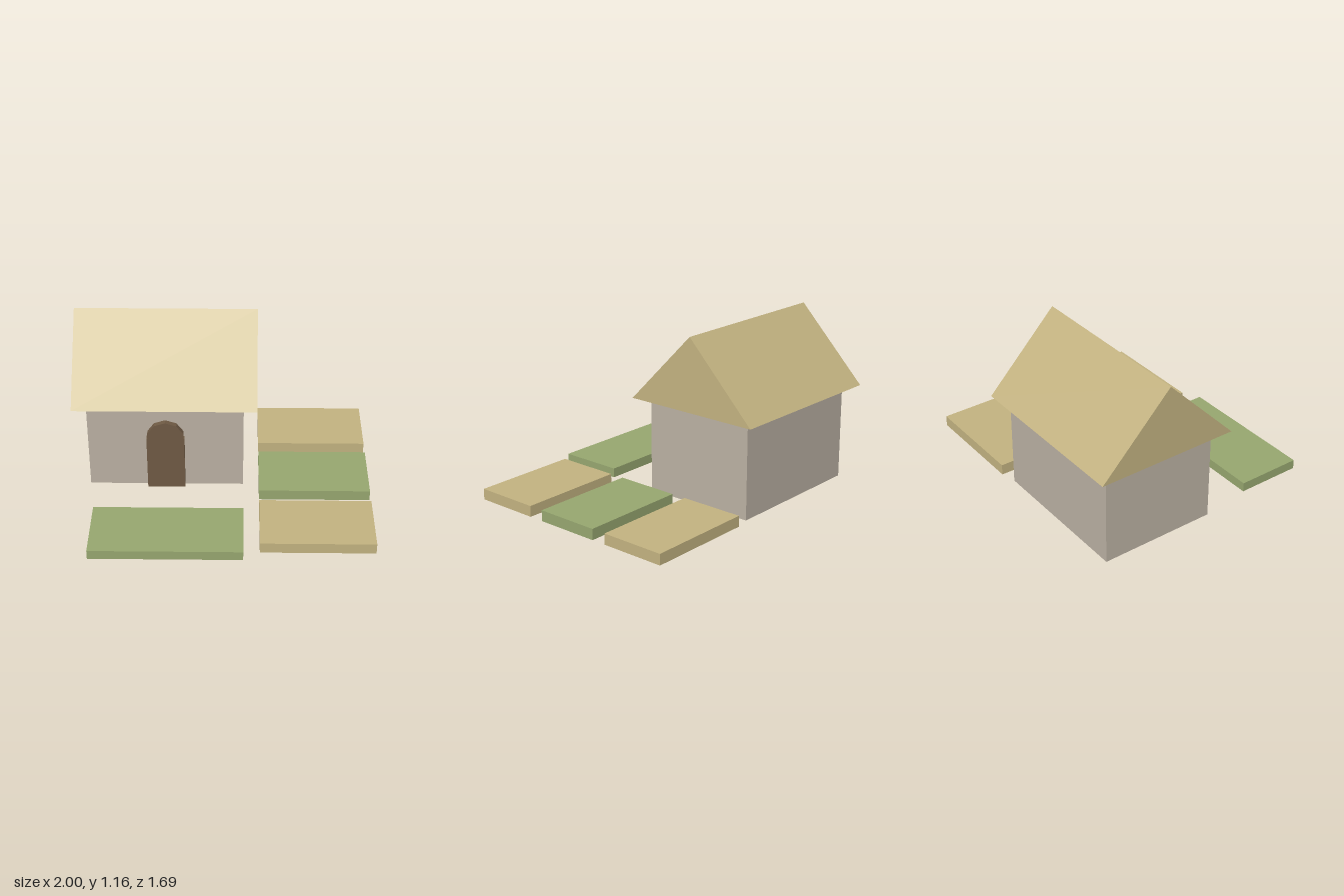
import * as THREE from 'three';

const material = (name, color) => {
  const m = new THREE.MeshStandardMaterial({ color });
  m.name = name;
  return m;
};

export function createModel() {
  const model = new THREE.Group();
  model.name = 'cottageWithPlots';

  const stone = material('stone', 0xbab0a2);
  const straw = material('straw', 0xc2b280);
  const grass = material('grass', 0x96a66f);
  const wood = material('wood', 0x6f5a44);

  const add = (name, geometry, mat, x, y, z) => {
    const mesh = new THREE.Mesh(geometry, mat);
    mesh.name = name;
    mesh.position.set(x, y, z);
    model.add(mesh);
    return mesh;
  };

  // Box standing on the ground
  const slab = (name, mat, w, h, d, x, z) =>
    add(name, new THREE.BoxGeometry(w, h, d), mat, x, h / 2, z);

  const houseX = -0.386, houseZ = -0.358;
  const wallHeight = 0.657;

  // Walls
  slab('walls', stone, 1.052, wallHeight, 0.805, houseX, houseZ);

  // Solid gabled roof, its ridge running along x
  const gable = new THREE.Shape([
    new THREE.Vector2(-0.49, 0),
    new THREE.Vector2(0.49, 0),
    new THREE.Vector2(0, 0.502),
  ]);
  const roofLength = 1.23;
  const roof = new THREE.ExtrudeGeometry(gable, { depth: roofLength, bevelEnabled: false });
  roof.translate(0, 0, -roofLength / 2).rotateY(Math.PI / 2);
  add('roof', roof, straw, houseX, wallHeight, houseZ);

  // Door: straight jambs with a slightly narrower faceted arch on top
  const radius = 0.128, springing = 0.402;
  const outline = [
    new THREE.Vector2(-radius, 0),
    new THREE.Vector2(radius, 0),
    new THREE.Vector2(radius, springing),
    new THREE.Vector2(radius * Math.cos(Math.PI / 10), springing),
  ];
  for (let i = 0; i < 5; i++) {
    const a = Math.PI / 10 + (i * Math.PI) / 5;
    outline.push(new THREE.Vector2(radius * Math.cos(a), springing + radius * Math.sin(a)));
  }
  outline.push(
    new THREE.Vector2(-radius * Math.cos(Math.PI / 10), springing),
    new THREE.Vector2(-radius, springing),
  );
  const door = new THREE.ExtrudeGeometry(new THREE.Shape(outline), { depth: 0.037, bevelEnabled: false });
  add('door', door, wood, houseX, 0, 0.0445);

  // Garden plots: three beside the house, one in front
  [[straw, -0.562], [grass, -0.009], [straw, 0.546]].forEach(([mat, z], i) =>
    slab(`sidePlot${i + 1}`, mat, 0.752, 0.075, 0.45, 0.624, z));
  slab('frontPlot', grass, 1.002, 0.065, 0.45, -0.36, 0.621);

  return model;
}
